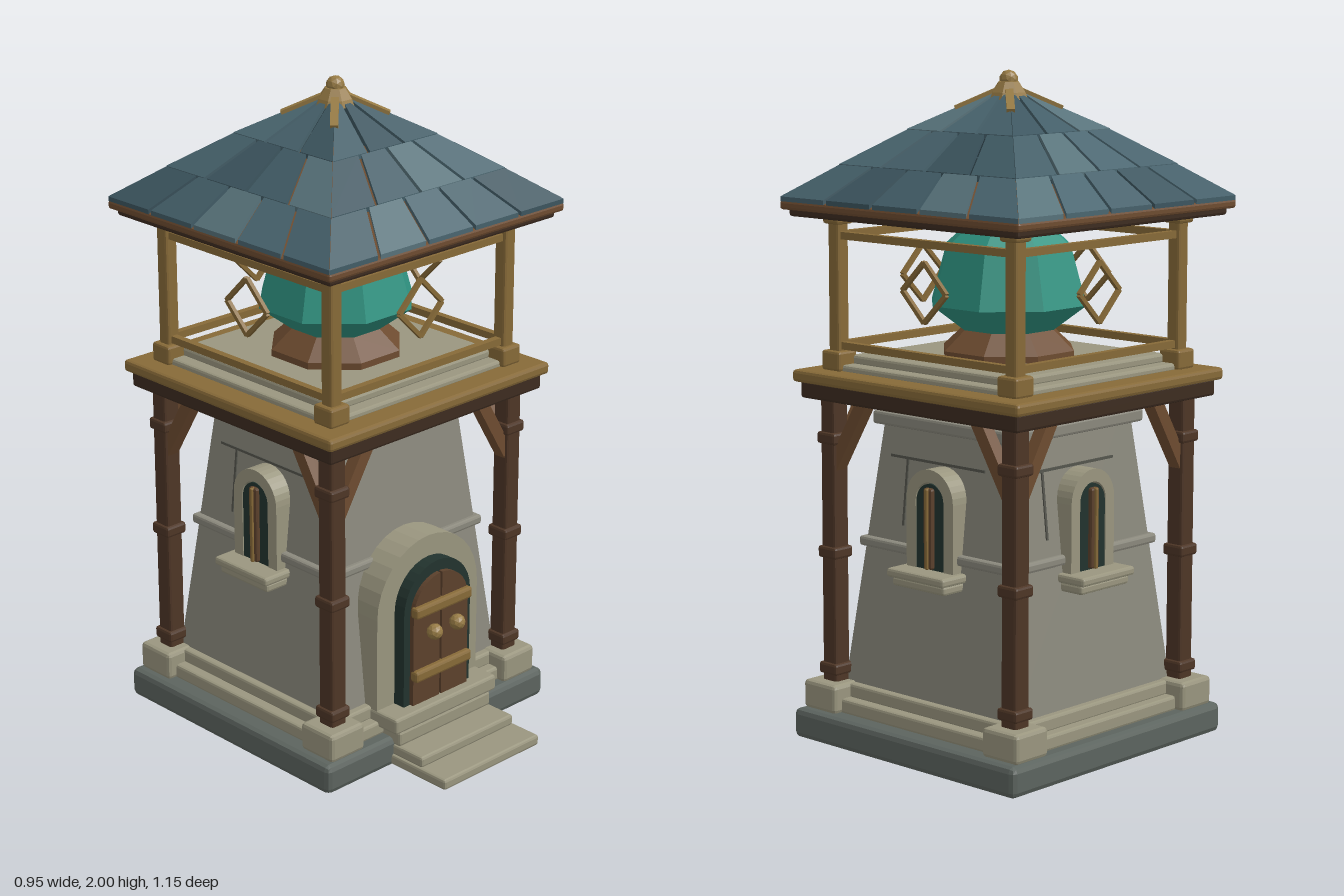
import * as THREE from 'three';
import { RoundedBoxGeometry } from 'three/addons/geometries/RoundedBoxGeometry.js';

const C = {
  base: 0x5c645f, stone: 0x9a967f, wall: 0x8b897d, joint: 0x55564e, dark: 0x4e3626, door: 0x5c412c,
  beam: 0x3d2c20, brown: 0x6e4c30, gold: 0x876a38, brass: 0x967a44, frame: 0x22332e, crystal: 0x2f9482,
};
const mats = {};
const mat = (c) => (mats[c] ??= new THREE.MeshStandardMaterial({ color: c, flatShading: true }));

function add(parent, name, geo, color, x = 0, y = 0, z = 0) {
  const m = new THREE.Mesh(geo, mat(color));
  m.name = name;
  m.position.set(x, y, z);
  parent.add(m);
  return m;
}

// Chamfered block given by its size, bottom height and centre
function block(parent, name, color, w, y0, y1, d, x = 0, z = 0, bevel = 0.008) {
  const h = y1 - y0;
  const geo = new RoundedBoxGeometry(w, h, d, 1, Math.min(bevel, w / 3, h / 3, d / 3));
  return add(parent, name, geo, color, x, (y0 + y1) / 2, z);
}

// Square bar between two points, in the parent's own space
const UP = new THREE.Vector3(0, 1, 0);
function bar(parent, name, color, a, b, w, d = w) {
  const A = new THREE.Vector3(...a), B = new THREE.Vector3(...b);
  const m = add(parent, name, new THREE.BoxGeometry(w, d, A.distanceTo(B)), color);
  m.quaternion.setFromRotationMatrix(new THREE.Matrix4().lookAt(B, A, UP));
  m.position.copy(A).add(B).multiplyScalar(0.5);
  return m;
}

function archPath(shape, w, y0, spring) {
  shape.moveTo(-w, y0);
  shape.lineTo(w, y0);
  shape.lineTo(w, spring);
  shape.absarc(0, spring, w, 0, Math.PI, false);
  shape.lineTo(-w, y0);
  return shape;
}

// Round-topped slab from z0 to z1, with an optional arched opening
function arch(parent, name, color, w, y0, spring, z0, z1, hole = 0) {
  const s = archPath(new THREE.Shape(), w, y0, spring);
  if (hole) s.holes.push(archPath(new THREE.Path(), hole, y0 + 0.002, spring));
  const geo = new THREE.ExtrudeGeometry(s, { depth: z1 - z0, bevelEnabled: false, curveSegments: 8 });
  return add(parent, name, geo, color, 0, 0, z0);
}

// Eight-sided turned part with flats facing the four sides
function turned(parent, name, color, pts) {
  const geo = new THREE.LatheGeometry(pts.map((p) => new THREE.Vector2(...p)), 8).rotateY(Math.PI / 8);
  return add(parent, name, geo, color);
}

// Box whose vertices are moved by a rule
function shaped(rule) {
  const geo = new THREE.BoxGeometry(1, 1, 1).toNonIndexed();
  const p = geo.attributes.position;
  for (let i = 0; i < p.count; i++) p.setXYZ(i, ...rule(p.getX(i) + 0.5, p.getY(i) + 0.5, p.getZ(i) + 0.5));
  geo.computeVertexNormals();
  return geo;
}

const lerp = THREE.MathUtils.lerp;
const wallHalf = (y) => lerp(0.345, 0.25, (y - 0.17) / 0.87);

function fourSides(parent, name, build) {
  for (let i = 0; i < 4; i++) {
    const g = new THREE.Group();
    g.name = name + (i + 1);
    g.rotation.y = (i * Math.PI) / 2;
    build(g, i);
    parent.add(g);
  }
}

function buildDoor(g) {
  arch(g, 'doorSurround', C.stone, 0.212, 0.165, 0.465, 0.24, 0.395, 0.14);
  arch(g, 'doorFrame', C.frame, 0.14, 0.165, 0.47, 0.24, 0.435);
  for (const s of [-1, 1]) {
    // Each leaf is half of the arch
    const leaf = new THREE.Shape();
    leaf.moveTo(s * 0.004, 0.17);
    leaf.lineTo(s * 0.115, 0.17);
    leaf.lineTo(s * 0.115, 0.46);
    leaf.absarc(0, 0.46, 0.115, s > 0 ? 0 : Math.PI, Math.PI / 2 - s * 0.035, s < 0);
    const geo = new THREE.ExtrudeGeometry(leaf, { depth: 0.03, bevelEnabled: false, curveSegments: 6 });
    add(g, 'doorLeaf', geo, C.door, 0, 0, 0.42);
    add(g, 'doorKnob', new THREE.IcosahedronGeometry(0.025, 1), C.brass, s * 0.048, 0.403, 0.472);
  }
  for (const y of [0.268, 0.477]) block(g, 'doorStrap', C.gold, 0.235, y - 0.018, y + 0.018, 0.03, 0, 0.453);
  // Landing and steps
  block(g, 'landing', C.stone, 0.43, 0.118, 0.168, 0.2, 0, 0.38);
  block(g, 'upperStep', C.stone, 0.39, 0.07, 0.118, 0.16, 0, 0.395);
  block(g, 'middleStep', C.stone, 0.395, 0.037, 0.072, 0.2, 0, 0.47);
  block(g, 'lowerStep', C.stone, 0.408, 0.006, 0.04, 0.25, 0, 0.547);
}

function buildWindow(g) {
  arch(g, 'windowSurround', C.stone, 0.094, 0.55, 0.77, 0.22, 0.335, 0.056);
  arch(g, 'windowPane', C.frame, 0.056, 0.55, 0.765, 0.22, 0.332);
  block(g, 'windowBar', C.door, 0.034, 0.57, 0.81, 0.02, 0, 0.336);
  block(g, 'windowBarCentre', C.gold, 0.012, 0.57, 0.81, 0.02, 0, 0.343);
  block(g, 'windowSillTop', C.stone, 0.23, 0.54, 0.567, 0.15, 0, 0.325);
  block(g, 'windowSillBottom', C.stone, 0.21, 0.513, 0.542, 0.13, 0, 0.32);
  // Masonry joints lying on the sloped wall
  bar(g, 'jointAcross', C.joint, [-0.22, 0.87, wallHalf(0.87)], [0.16, 0.87, wallHalf(0.87)], 0.008);
  bar(g, 'jointDown', C.joint, [-0.15, 0.87, wallHalf(0.87)], [-0.15, 0.67, wallHalf(0.67)], 0.008);
}

// Roof tiers run from the eave to the peak: half width and height
const tiers = [[0.472, 1.624], [0.35, 1.718], [0.21, 1.82], [0.025, 1.935]];

function buildRoofSide(g, side) {
  const tints = [0x425d67, 0x4a6670, 0x3c555f, 0x57727a, 0x46616b];
  for (let t = 0; t < 3; t++) {
    const n = 5 - t, [h0, y0] = tiers[t], [h1, y1] = tiers[t + 1];
    const gap = (u) => (Math.abs(u) > 0.99 ? 0.001 : 0.006);
    for (let k = 0; k < n; k++) {
      const uL = -1 + (2 * k) / n, uR = -1 + (2 * (k + 1)) / n;
      const geo = shaped((x, y, z) => {
        const h = lerp(h1, h0, z);
        const xl = uL * h + gap(uL), xr = Math.max(uR * h - gap(uR), xl);
        return [lerp(xl, xr, x), lerp(y1, y0, z) + (y - 0.5) * 0.014 + z * 0.002, h];
      });
      add(g, 'roofTile', geo, tints[(k * 3 + t * 2 + side * 4) % 5]);
    }
  }
  // Short ridge cap below the finial
  bar(g, 'hipCap', C.brass, [0.025, 1.938, 0.025], [0.11, 1.886, 0.11], 0.024, 0.02);
}

export function createModel() {
  const model = new THREE.Group();
  model.name = 'lanternTower';
  const tower = new THREE.Group();
  tower.name = 'tower';
  tower.position.z = -0.1;
  model.add(tower);

  // Foundation and plinth
  block(tower, 'foundation', C.base, 0.93, 0, 0.092, 0.9, 0, 0, 0.018);
  block(tower, 'plinthLower', C.stone, 0.81, 0.09, 0.135, 0.81);
  block(tower, 'plinthUpper', C.stone, 0.74, 0.13, 0.175, 0.74);

  // Tapered walls with stone bands
  add(tower, 'walls', shaped((x, y, z) => {
    const w = lerp(0.345, 0.25, y) * 2;
    return [(x - 0.5) * w, lerp(0.17, 1.04, y), (z - 0.5) * w];
  }), C.wall);
  block(tower, 'middleBand', C.wall, 0.635, 0.59, 0.62, 0.625);
  block(tower, 'upperBand', C.wall, 0.58, 0.96, 1.0, 0.56);
  block(tower, 'topBand', C.wall, 0.56, 1.0, 1.05, 0.54);

  fourSides(tower, 'side', (g, i) => (i === 0 ? buildDoor(g) : buildWindow(g)));

  // Gallery floor
  block(tower, 'galleryBeam', C.beam, 0.87, 1.037, 1.09, 0.87);
  block(tower, 'galleryRim', C.gold, 0.905, 1.085, 1.122, 0.905, 0, 0, 0.01);
  block(tower, 'galleryFloor', C.stone, 0.75, 1.115, 1.14, 0.75);
  block(tower, 'lanternPlinth', C.stone, 0.66, 1.135, 1.165, 0.66);

  // Corner posts, braces, rails and hanging diamonds
  fourSides(tower, 'frame', (g) => {
    const p = 0.365, q = 0.353;
    block(g, 'cornerStone', C.stone, 0.135, 0.09, 0.178, 0.135, p + 0.003, p + 0.003, 0.012);
    block(g, 'post', C.dark, 0.058, 0.17, 1.04, 0.058, p, p);
    for (const y of [0.215, 0.572, 0.918]) block(g, 'postCollar', C.dark, 0.075, y - 0.018, y + 0.018, 0.075, p, p);
    for (const s of [-1, 1]) bar(g, 'brace', C.brown, [s * 0.355, 0.83, p], [s * 0.225, 1.045, p], 0.04);
    block(g, 'lanternPostFoot', C.gold, 0.075, 1.12, 1.18, 0.075, q, q);
    block(g, 'lanternPost', C.gold, 0.044, 1.15, 1.58, 0.044, q, q);
    block(g, 'lanternPostCap', C.gold, 0.066, 1.553, 1.58, 0.066, q, q);
    for (const y of [1.195, 1.52]) bar(g, 'rail', C.gold, [-q, y, q], [q, y, q], 0.022);
    const d = 0.087, ring = [[0, 1.38 + d], [d, 1.38], [0, 1.38 - d], [-d, 1.38]];
    ring.forEach((a, k) => bar(g, 'diamondFrame', C.gold, [...a, q], [...ring[(k + 1) % 4], q], 0.013));
  });

  // Crystal and its holders
  turned(tower, 'crystalBase', C.brown, [[0, 1.15], [0.205, 1.15], [0.205, 1.185], [0.14, 1.245], [0, 1.245]]);
  turned(tower, 'crystal', C.crystal, [[0, 1.235], [0.13, 1.235], [0.243, 1.32], [0.195, 1.49], [0.115, 1.56], [0, 1.56]]);
  turned(tower, 'crystalCap', C.brown, [[0, 1.555], [0.115, 1.555], [0.135, 1.59], [0, 1.59]]);

  // Roof deck, tiles and finial
  block(tower, 'roofBeam', C.beam, 0.91, 1.575, 1.603, 0.91);
  block(tower, 'eaves', C.brown, 0.948, 1.595, 1.622, 0.948);
  fourSides(tower, 'roofSide', buildRoofSide);
  turned(tower, 'finialBase', C.brass, [[0, 1.91], [0.06, 1.915], [0.052, 1.935], [0.032, 1.965], [0, 1.975]]);
  add(tower, 'finialBall', new THREE.IcosahedronGeometry(0.028, 1), C.brass, 0, 1.972, 0);

  return model;
}
